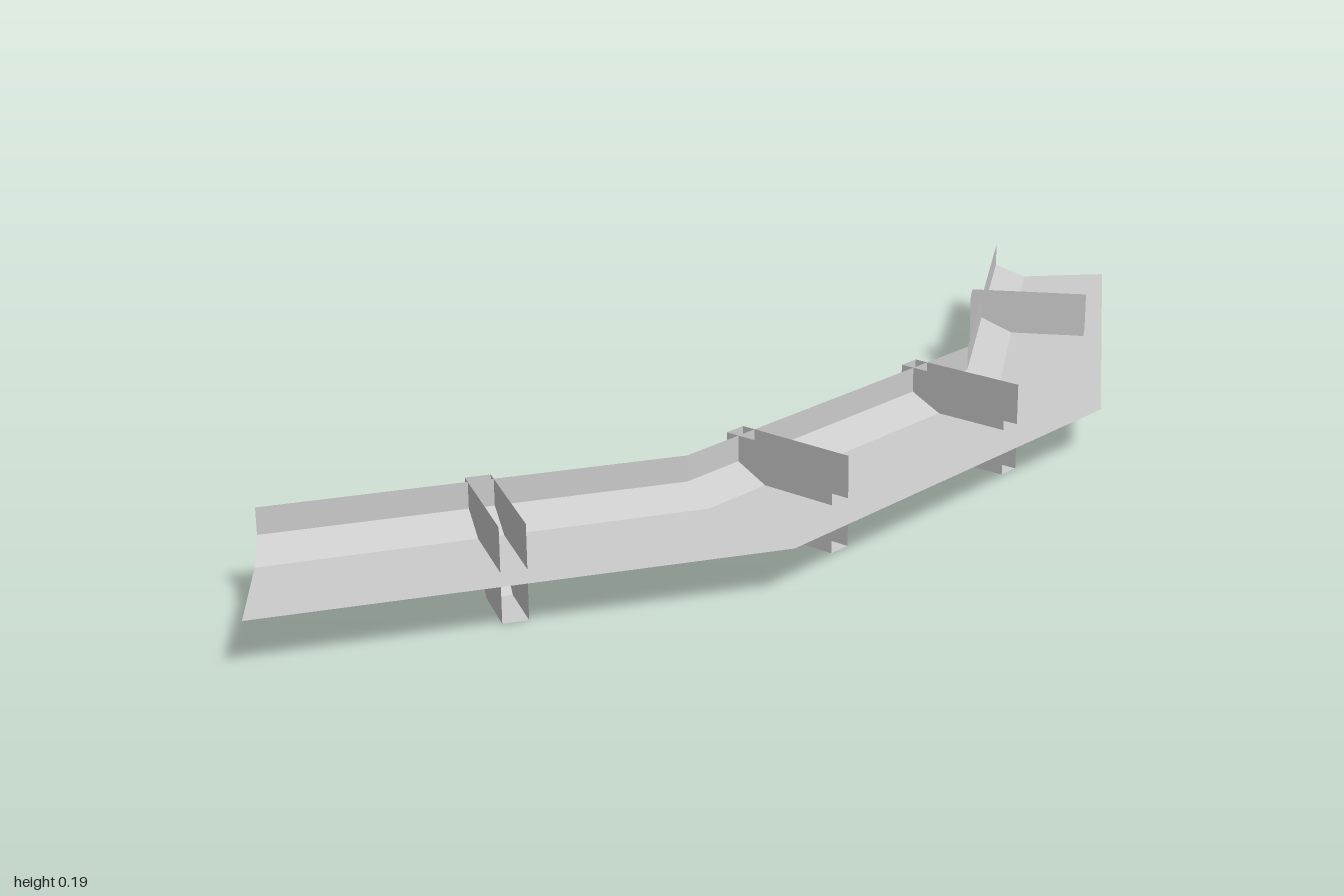
import * as THREE from 'three';

// Skins a list of equal-length point rows with flat quads
function loft(rows) {
  const pos = [];
  for (let i = 0; i < rows.length - 1; i++) {
    for (let j = 0; j < rows[i].length - 1; j++) {
      const a = rows[i][j], b = rows[i + 1][j], c = rows[i + 1][j + 1], d = rows[i][j + 1];
      pos.push(...a, ...d, ...b, ...b, ...d, ...c);
    }
  }
  const g = new THREE.BufferGeometry();
  g.setAttribute('position', new THREE.Float32BufferAttribute(pos, 3));
  g.computeVertexNormals();
  return g;
}

export function createModel() {
  const model = new THREE.Group();
  model.name = 'curvedGutter';
  const grey = new THREE.MeshStandardMaterial({ color: 0xcccccc, side: THREE.DoubleSide, flatShading: true });
  grey.name = 'lightGrey';

  const add = (parent, geometry, name) => {
    const mesh = new THREE.Mesh(geometry, grey);
    mesh.name = name;
    parent.add(mesh);
    return mesh;
  };

  // Plan outlines [x, z] of the wall, the foot of the slope and the outer rim
  const wall = [[-1, 0.687], [-0.193, 0.494], [0.481, -0.143], [0.72, -1]];
  const foot = [[-1, 0.762], [-0.157, 0.556], [0.545, -0.105], [0.795, -1]];
  const rim = [[-1, 1], [-0.017, 0.775], [0.736, 0.058], [1, -1]];
  const at = (line, y) => line.map(([x, z]) => [x, y, z]);

  const top = 0.188, wallFoot = 0.134, floor = 0.1;
  add(model, loft([at(wall, top), at(wall, wallFoot)]), 'wall');
  add(model, loft([at(wall, wallFoot), at(foot, floor)]), 'slope');
  add(model, loft([at(foot, floor), at(rim, floor)]), 'floorSheet');

  // Bracket: two cheeks joined by a back and a curved underside, open at top and outer end
  const length = 0.27, half = 0.025;
  const underside = [[0, top], [0, 0.082], [0.04, 0.074], [0.075, 0.06], [0.105, 0.039], [0.128, 0.018], [0.147, 0], [length, 0]];
  const cheekShape = new THREE.Shape([...underside, [length, top]].map(([x, y]) => new THREE.Vector2(x, y)));
  const cheek = new THREE.ShapeGeometry(cheekShape);
  const web = loft([-half, half].map((z) => underside.map(([x, y]) => [x, y, z])));

  // Bracket back centres and outward directions [x, z, nx, nz]
  const places = [
    [-0.596, 0.565, 0.231, 0.973],
    [-0.086, 0.351, 0.687, 0.727],
    [0.332, -0.045, 0.687, 0.727],
    [0.572, -0.57, 0.963, 0.27],
  ];
  places.forEach(([x, z, nx, nz], i) => {
    const bracket = new THREE.Group();
    bracket.name = 'bracket' + (i + 1);
    for (const s of [-1, 1]) {
      add(bracket, cheek, s < 0 ? 'cheekA' : 'cheekB').position.z = s * half;
    }
    add(bracket, web, 'underside');
    bracket.position.set(x, 0, z);
    bracket.rotation.y = Math.atan2(-nz, nx);
    model.add(bracket);
  });

  return model;
}
